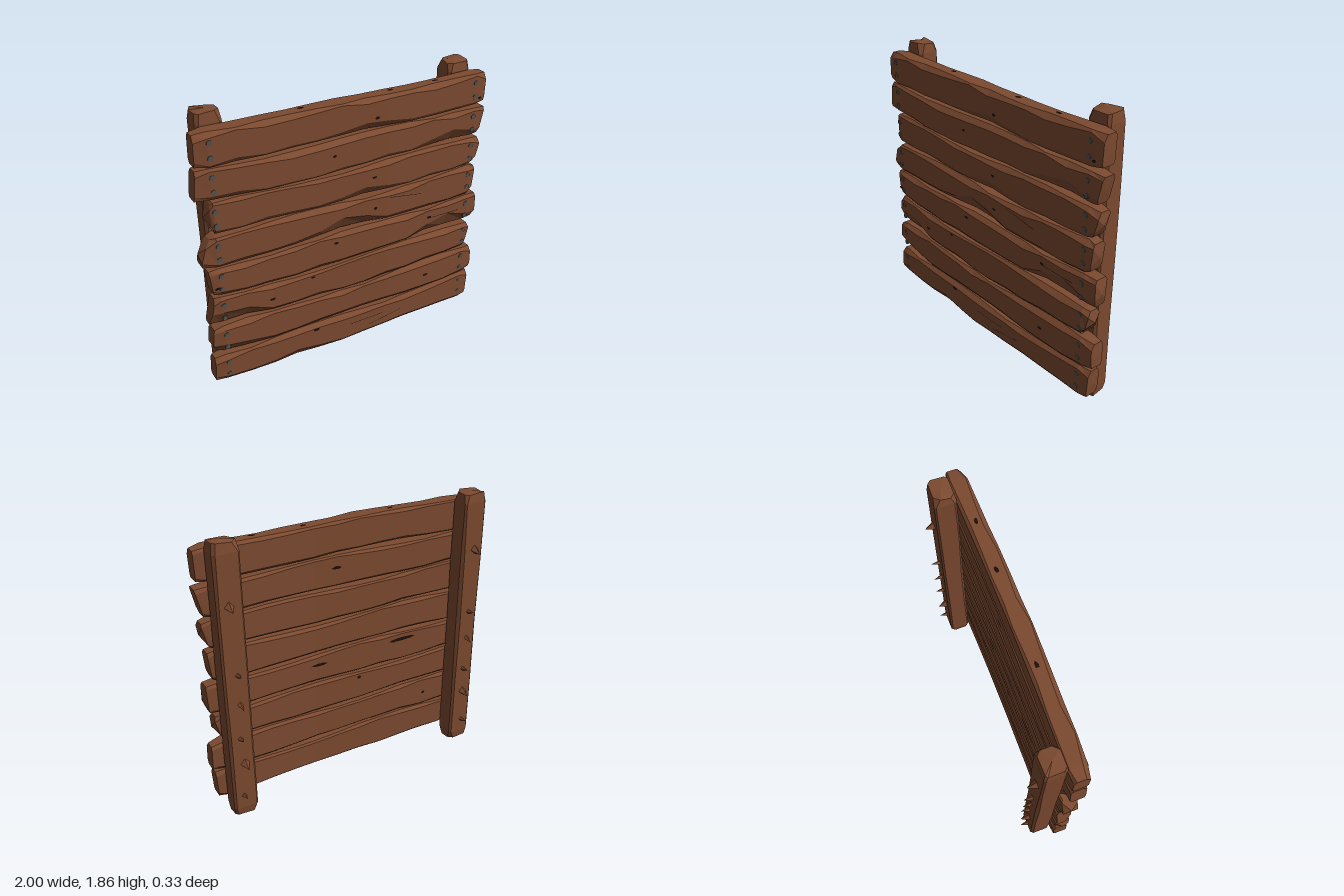
import * as THREE from 'three';

const material = (name, color) => {
  const m = new THREE.MeshStandardMaterial({ color, flatShading: true });
  m.name = name;
  return m;
};

function seeded(seed) {
  return () => {
    seed = (seed * 16807) % 2147483647;
    return seed / 2147483647;
  };
}

// Skins rings of points and closes both ends with a fan
function loft(rings, startTip, endTip) {
  const n = rings[0].length, pos = [];
  const tri = (a, b, c) => pos.push(...a, ...b, ...c);
  for (let i = 0; i < rings.length - 1; i++) {
    for (let j = 0; j < n; j++) {
      const k = (j + 1) % n, p = rings[i], q = rings[i + 1];
      tri(p[j], p[k], q[k]);
      tri(p[j], q[k], q[j]);
    }
  }
  const last = rings[rings.length - 1];
  for (let j = 0; j < n; j++) {
    const k = (j + 1) % n;
    tri(startTip, rings[0][k], rings[0][j]);
    tri(endTip, last[j], last[k]);
  }
  const g = new THREE.BufferGeometry();
  g.setAttribute('position', new THREE.Float32BufferAttribute(pos, 3));
  g.computeVertexNormals();
  return g;
}

// The planks bow slightly forward in the middle
const frontZ = x => 0.166 - 0.022 * x * x;
const backZ = x => 0.045 - 0.015 * x * x;

// Plank ends (x at the top, middle and bottom) and the place and height of the chip under the front edge
const PLANKS = [
  { left: [-0.97, -0.98, -0.98], right: [0.975, 0.975, 0.965], chip: [-0.4, 0.035] },
  { left: [-0.96, -0.99, -0.94], right: [0.985, 0.99, 0.99], chip: [-0.9, 0.05] },
  { left: [-0.94, -0.96, -0.98], right: [0.94, 0.96, 0.9], chip: [-0.85, 0.09] },
  { left: [-0.96, -0.955, -0.94], right: [0.98, 1, 0.97], chip: [0.75, 0.1] },
  { left: [-0.93, -1, -0.99], right: [0.95, 0.96, 0.93], chip: [-0.05, 0.08] },
  { left: [-0.91, -0.95, -0.89], right: [0.97, 0.98, 0.93], chip: [0.05, 0.04] },
  { left: [-0.98, -0.99, -1], right: [0.99, 0.975, 0.95], chip: [0.75, 0.06] },
  { left: [-0.975, -0.98, -0.98], right: [0.98, 0.98, 0.975], chip: [0.15, 0.03] },
];
const PITCH = 0.2135, HEIGHT = 0.21;

// Bottom and top of a plank at x, gently wavy; only the top plank has a straight upper edge
function edges(i, x) {
  const low = 0.086 + i * PITCH, topWave = i === 7 ? 0.004 : 0.01;
  return [low + 0.007 * (1 + Math.sin(4.5 * x + i * 2.1)), low + HEIGHT - topWave * (1 + Math.sin(5 * x + i * 1.7))];
}
const middle = (i, x) => (edges(i, x)[0] + edges(i, x)[1]) / 2;

function plankGeometry({ left, right, chip }, index, rand) {
  const steps = 13, rings = [];
  for (let s = 0; s <= steps; s++) {
    const end = s === 0 ? left : s === steps ? right : null;
    const x = end ? end[1] : -0.9 + 1.8 * (s - 1) / (steps - 2);
    const inset = end ? 0.01 : 0;
    let [yb, yt] = edges(index, x);
    yb += inset;
    yt -= inset;
    // Front bevels: the bottom one widens around the chip
    const near = Math.max(0, 1 - Math.abs(x - chip[0]) / 0.3);
    const cb = 0.01 + rand() * 0.02 + chip[1] * near + inset;
    const ct = 0.008 + rand() * 0.025 + inset;
    const c = 0.008 + rand() * 0.012 + inset;
    const zf = frontZ(x), zb = backZ(x);
    const section = [
      [yt, zb + c], [yt, zf - Math.min(ct, 0.035)], [yt - ct, zf - inset], [yb + cb, zf - inset],
      [yb, zf - Math.min(cb * 0.7, 0.05)], [yb, zb + c], [yb + c, zb + inset], [yt - c, zb + inset]];
    rings.push(section.map(([y, z]) => {
      if (!end) return [x, y, z];
      const t = (y - yb) / (yt - yb) * 2 - 1;
      return [THREE.MathUtils.lerp(end[1], t > 0 ? end[0] : end[2], Math.abs(t)), y, z];
    }));
  }
  const tip = x => [x, middle(index, x), (frontZ(x) + backZ(x)) / 2];
  return loft(rings, tip(left[1]), tip(right[1]));
}

function postGeometry(rand) {
  const ys = [0, 0.07, 0.5, 0.95, 1.4, 1.79, 1.855];
  const rings = ys.map((y, i) => {
    const end = i === 0 || i === ys.length - 1, inset = end ? 0.008 : 0;
    const w = 0.08 - inset, f = 0.038 - inset, b = -0.1 + inset;
    const [c1, c2, c3, c4] = Array.from({ length: 4 }, () => 0.01 + rand() * (end ? 0.025 : 0.01));
    return [[-w + c1, f], [w - c2, f], [w, f - c2], [w, b + c3], [w - c3, b], [-w + c4, b], [-w, b + c4], [-w, f - c1]]
      .map(([x, z]) => [x, end ? y + (i ? -1 : 1) * rand() * 0.02 : y, z]);
  });
  return loft(rings, [0, 0, -0.03], [0, 1.855, -0.03]);
}

export function createModel() {
  const root = new THREE.Group();
  root.name = 'plankFence';
  const wood = material('brown wood', 0x7c4a30);
  const dark = material('dark knot', 0x1c0c09);
  const steel = material('nail grey', 0x55524f);
  const rand = seeded(4711);
  const add = (name, geo, mat, x = 0, y = 0, z = 0) => {
    const m = new THREE.Mesh(geo, mat);
    m.name = name;
    m.position.set(x, y, z);
    root.add(m);
  };
  // Irregular dark patch
  const knot = (w, h) => new THREE.ShapeGeometry(new THREE.Shape(Array.from({ length: 8 }, (_, i) => {
    const a = i * Math.PI / 4, r = 0.75 + rand() * 0.5;
    return new THREE.Vector2(Math.cos(a) * r * w, Math.sin(a) * r * h);
  })));

  // Planks, with two nail heads near each end
  const nail = new THREE.CylinderGeometry(0.017, 0.017, 0.009, 10).rotateX(Math.PI / 2);
  PLANKS.forEach((p, i) => {
    add('plank' + (i + 1), plankGeometry(p, i, rand), wood);
    for (const x of [-0.89, 0.89]) {
      for (const dy of [-0.045, 0.045]) add('nail', nail, steel, x, middle(i, x) + dy, frontZ(x) - 0.001);
    }
  });

  // Posts, with splinters standing out of the back
  const splinterHeights = [0.17, 0.4, 0.6, 0.83, 1.04, 1.47];
  for (const side of [-1, 1]) {
    add(side > 0 ? 'leftPost' : 'rightPost', postGeometry(rand), wood, side * 0.84);
    splinterHeights.forEach((y, i) => {
      const g = new THREE.ConeGeometry(i % 4 === 1 ? 0.033 : 0.019, 0.07, 4).rotateX(-Math.PI / 2 + (i % 2 ? -0.25 : 0.2));
      add('splinter', g, wood, side * 0.84 + (rand() - 0.5) * 0.03, y, -0.125);
    });
  }

  // Knots on the front, back and top
  const frontKnots = [
    [0.15, 1.66], [-0.14, 1.48], [0.14, 1.27], [0.15, 1.05], [-0.13, 0.88], [0.58, 0.86],
    [-0.3, 0.68], [-0.58, 0.61], [0.58, 0.4], [-0.28, 0.26], [-0.92, 0.8], [0.93, 1.63]];
  for (const [x, y] of frontKnots) add('frontKnot', knot(0.012 + rand() * 0.012, 0.009), dark, x, y, frontZ(x) + 0.003);
  const backKnots = [[0.23, 0.86, 0.055], [-0.4, 0.88, 0.09], [0.09, 1.5, 0.035], [-0.07, 0.68, 0.015], [-0.6, 0.4, 0.014]];
  for (const [x, y, w] of backKnots) add('backKnot', knot(w, 0.011).rotateY(Math.PI), dark, x, y, backZ(x) - 0.004);
  for (const x of [-0.32, 0.28, 0.61]) {
    add('topKnot', knot(0.02, 0.012).rotateX(-Math.PI / 2), dark, x, edges(7, x)[1] + 0.003, 0.095);
  }

  // Thin cracks along the grain
  for (const [x, y, tilt] of [[0.38, 1.08, -0.15], [0.25, 0.17, 0.16], [0.1, 0.21, 0], [0.7, 0.85, 0]]) {
    add('crack', new THREE.PlaneGeometry(0.25, 0.003).rotateZ(tilt), dark, x, y, frontZ(x) + 0.004);
  }
  return root;
}
